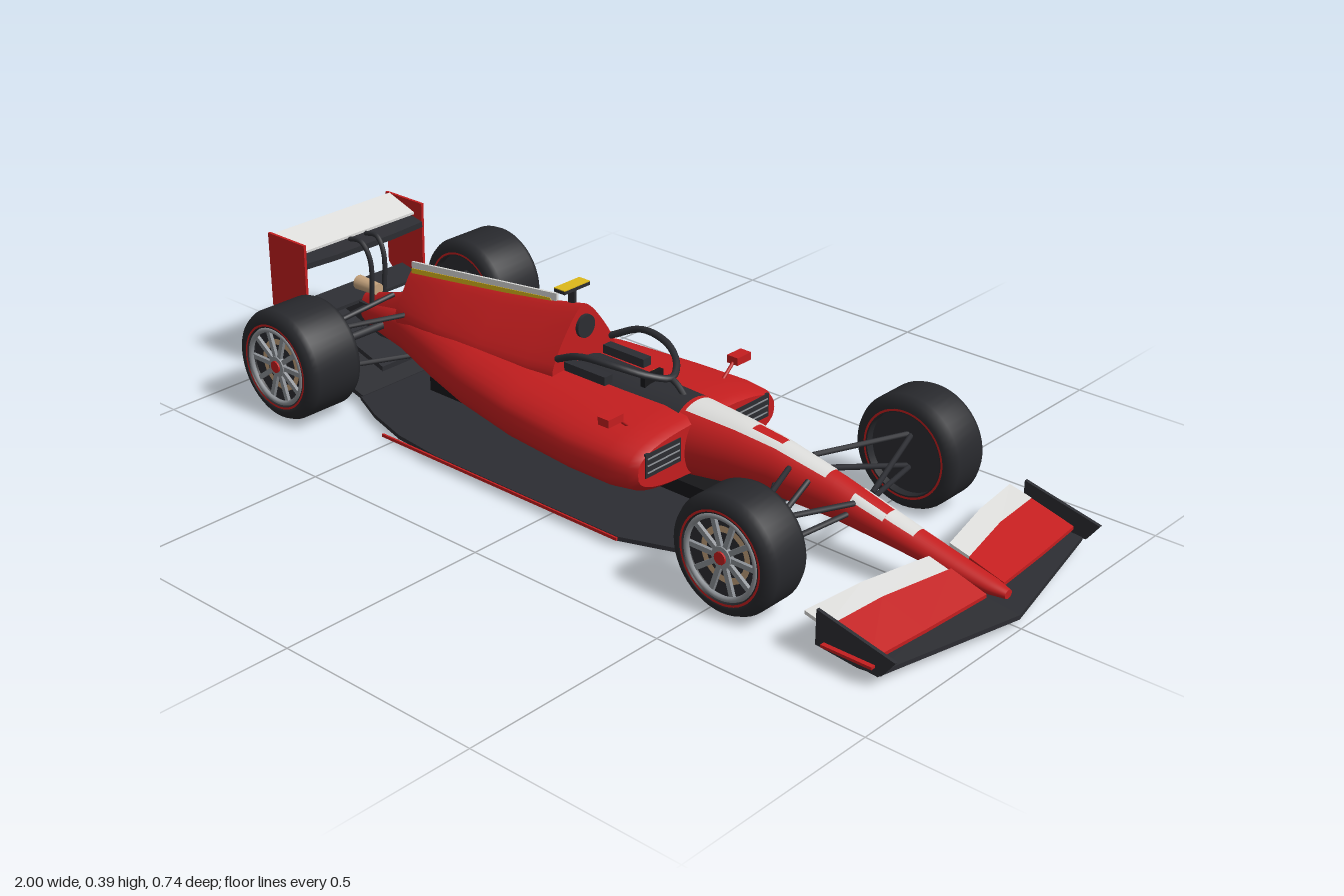
import * as THREE from 'three';

const mat = (name, color, double) => {
  const m = new THREE.MeshStandardMaterial({ color });
  m.name = name;
  if (double) m.side = THREE.DoubleSide;
  return m;
};

export function createModel() {
  const red = mat('red paint', 0xc41e1f), carbon = mat('carbon', 0x2c2d32), rubber = mat('rubber', 0x27282c);
  const white = mat('white paint', 0xdcdcda), yellow = mat('yellow', 0xdcb81a), silver = mat('silver', 0x8d9196);
  const tan = mat('tan metal', 0xc4a27c), black = mat('black', 0x17171a, true);
  const car = new THREE.Group();
  car.name = 'raceCar';

  const add = (name, geo, m, parent = car, x = 0, y = 0, z = 0) => {
    const mesh = new THREE.Mesh(geo, m);
    mesh.name = name;
    mesh.position.set(x, y, z);
    parent.add(mesh);
    return mesh;
  };
  const box = (name, m, x, y, z, w, h, d) => add(name, new THREE.BoxGeometry(w, h, d), m, car, x, y, z);
  const V = (x, y, z) => new THREE.Vector3(x, y, z);

  // Skin over a row of cross-sections, optionally closed round and capped
  const skin = (rings, closed = true, flat = false) => {
    const n = rings[0].length, pos = [], idx = [];
    rings.forEach(r => r.forEach(p => pos.push(p.x, p.y, p.z)));
    for (let i = 0; i < rings.length - 1; i++)
      for (let j = 0; j < (closed ? n : n - 1); j++) {
        const a = i * n + j, b = i * n + (j + 1) % n;
        idx.push(a, a + n, b + n, a, b + n, b);
      }
    if (closed) [rings[0], rings[rings.length - 1]].forEach((r, end) => {
      const s = pos.length / 3;
      r.forEach(p => pos.push(p.x, p.y, p.z));
      for (let j = 1; j < n - 1; j++) end ? idx.push(s, s + j + 1, s + j) : idx.push(s, s + j, s + j + 1);
    });
    let g = new THREE.BufferGeometry();
    g.setAttribute('position', new THREE.Float32BufferAttribute(pos, 3));
    g.setIndex(idx);
    if (flat) g = g.toNonIndexed();
    g.computeVertexNormals();
    return g;
  };

  // Body rows: x, bottom, top, half width, taper to the top, roundness
  const point = (r, a, off = 0) => {
    const f = v => Math.sign(v) * Math.pow(Math.abs(v), 2 / r[5]);
    const s = f(Math.sin(a)), c = f(Math.cos(a));
    return V(r[0], (r[1] + r[2]) / 2 + s * ((r[2] - r[1]) / 2 + off), c * (r[3] + off) * (1 - r[4] * s));
  };
  const rowAt = (rows, x) => {
    let i = 0;
    while (i < rows.length - 2 && rows[i + 1][0] < x) i++;
    const t = (x - rows[i][0]) / (rows[i + 1][0] - rows[i][0]);
    return rows[i].map((v, k) => v + (rows[i + 1][k] - v) * t);
  };
  const body = (name, rows, m) => add(name, skin(rows.map(r =>
    Array.from({ length: 40 }, (_, j) => point(r, j / 40 * Math.PI * 2)))), m);
  // Painted panel lying on a body between two x positions and two angles in degrees
  const panel = (name, rows, m, x0, x1, a0, a1, off = 0.002) => add(name, skin(Array.from({ length: 15 }, (_, i) =>
    Array.from({ length: 13 }, (_, j) => point(rowAt(rows, x0 + (x1 - x0) * i / 14),
      THREE.MathUtils.degToRad(a0 + (a1 - a0) * j / 12), off))), false), m);

  const nose = [
    [-0.3, 0.06, 0.225, 0.09, 0.1, 2.2], [-0.16, 0.06, 0.228, 0.095, 0.1, 2.2], [0.0, 0.06, 0.228, 0.092, 0.1, 2.2],
    [0.17, 0.06, 0.226, 0.08, 0.05, 2.1], [0.3, 0.075, 0.219, 0.064, 0, 2], [0.4, 0.085, 0.208, 0.053, 0, 2],
    [0.55, 0.085, 0.178, 0.042, 0, 2], [0.7, 0.075, 0.138, 0.036, 0, 2], [0.85, 0.06, 0.102, 0.029, 0, 2],
    [0.93, 0.055, 0.085, 0.022, 0, 2], [0.965, 0.057, 0.076, 0.012, 0, 2]];
  const pods = [
    [-0.9, 0.1, 0.16, 0.02, 0, 2], [-0.72, 0.075, 0.195, 0.055, 0, 2.2], [-0.55, 0.06, 0.21, 0.118, 0, 2.4],
    [-0.4, 0.055, 0.217, 0.168, 0, 2.5], [-0.2, 0.055, 0.218, 0.215, 0, 2.6], [0.0, 0.055, 0.217, 0.238, 0, 2.6],
    [0.12, 0.06, 0.216, 0.241, 0, 2.7], [0.18, 0.07, 0.21, 0.235, 0, 2.7], [0.2, 0.085, 0.2, 0.222, 0, 2.7]];
  const cover = [
    [-0.88, 0.11, 0.175, 0.02, 0.2, 2], [-0.74, 0.1, 0.215, 0.04, 0.3, 1.8], [-0.715, 0.1, 0.276, 0.05, 0.5, 1.7],
    [-0.55, 0.1, 0.295, 0.085, 0.5, 1.6], [-0.4, 0.1, 0.314, 0.1, 0.5, 1.6], [-0.24, 0.1, 0.338, 0.105, 0.45, 1.6],
    [-0.16, 0.1, 0.354, 0.1, 0.35, 1.6]];
  body('monocoqueAndNose', nose, red);
  body('sidepods', pods, red);
  body('engineCover', cover, red);

  // Painted panels on the nose and the cockpit opening
  panel('noseStripe', nose, white, 0.17, 0.53, 60, 120);
  panel('stripeMark', nose, red, 0.33, 0.41, 78, 102, 0.004);
  panel('noseTipPanel', nose, white, 0.68, 0.75, 55, 125);
  for (const a of [42, 110]) panel('noseSidePanel', nose, white, 0.6, 0.68, a, a + 28);
  panel('cockpitOpening', nose, carbon, -0.155, 0.16, 40, 140, 0.003);
  box('steeringWheel', black, 0.04, 0.236, 0, 0.012, 0.03, 0.06);
  for (const s of [-1, 1]) {
    box('wheelButton', yellow, 0.032, 0.244, s * 0.018, 0.006, 0.008, 0.008);
    box('headrest', carbon, -0.09, 0.232, s * 0.062, 0.12, 0.02, 0.025);
  }

  // Air intake, centre fin and camera
  const intake = add('airIntake', new THREE.CylinderGeometry(0.027, 0.027, 0.01, 24), carbon, car, -0.157, 0.302, 0);
  intake.rotation.z = Math.PI / 2;
  const plate = (name, m, pts, z, t) => {
    const shape = new THREE.Shape(pts.map(p => new THREE.Vector2(...p)));
    const g = new THREE.ExtrudeGeometry(shape, { depth: t, bevelEnabled: false });
    return add(name, g.translate(0, 0, z - t / 2), m);
  };
  plate('centreFin', white, [[-0.71, 0.26], [-0.24, 0.325], [-0.24, 0.355], [-0.71, 0.302]], 0, 0.006);
  plate('finStripe', yellow, [[-0.71, 0.26], [-0.24, 0.32], [-0.26, 0.34], [-0.71, 0.286]], 0, 0.009);
  box('cameraPost', carbon, -0.195, 0.365, 0, 0.02, 0.04, 0.006);
  box('cameraBar', carbon, -0.195, 0.384, 0, 0.032, 0.008, 0.08);
  box('cameraCap', yellow, -0.195, 0.389, 0, 0.032, 0.002, 0.08);

  // Rods and tubes
  const tube = (name, pts, r, m = carbon) => add(name,
    new THREE.TubeGeometry(new THREE.CatmullRomCurve3(pts), 40, r, 8), m);
  const rod = (name, a, b, r = 0.006, m = carbon) => {
    const mesh = add(name, new THREE.CylinderGeometry(r, r, a.distanceTo(b), 8), m);
    mesh.position.copy(a).lerp(b, 0.5);
    mesh.quaternion.setFromUnitVectors(V(0, 1, 0), b.clone().sub(a).normalize());
  };
  const half = [[-0.16, 0.25, 0.085], [-0.08, 0.284, 0.098], [0.01, 0.283, 0.082], [0.07, 0.267, 0.045]];
  tube('haloRing', [...half.map(p => V(...p)), V(0.095, 0.255, 0),
    ...half.slice().reverse().map(p => V(p[0], p[1], -p[2]))], 0.008);
  tube('haloStrut', [V(0.09, 0.257, 0), V(0.115, 0.242, 0), V(0.14, 0.215, 0)], 0.007);

  // Floor and diffuser
  const edge = [[0.35, 0.23], [0.2, 0.285], [-0.35, 0.285], [-0.48, 0.27], [-0.6, 0.235], [-0.7, 0.19]];
  const outline = [...edge, ...edge.slice().reverse().map(p => [p[0], -p[1]])];
  const floorGeo = new THREE.ExtrudeGeometry(new THREE.Shape(outline.map(p => new THREE.Vector2(...p))),
    { depth: 0.01, bevelEnabled: false });
  add('floor', floorGeo.rotateX(Math.PI / 2), carbon, car, 0, 0.026, 0);
  box('plank', black, -0.15, 0.035, 0, 0.9, 0.05, 0.12);

  // Wing element: sections of z, trailing x, leading x, trailing y, leading y
  const wing = (name, m, secs, t) => add(name, skin(secs.slice().sort((a, b) => a[0] - b[0]).map(
    ([z, x0, x1, y0, y1]) => [V(x1, y1 + t, z), V(x1, y1, z), V(x0, y0, z), V(x0, y0 + t, z)]), true, true), m);
  const span = (name, m, secs, t) => wing(name, m,
    [...secs, ...secs.filter(q => q[0] > 0).map(q => [-q[0], ...q.slice(1)])], t);
  span('diffuser', carbon, [[0.19, -0.93, -0.69, 0.085, 0.016]], 0.012);
  span('diffuserTop', carbon, [[0.1, -0.93, -0.72, 0.115, 0.05]], 0.012);
  box('gearbox', carbon, -0.82, 0.125, 0, 0.22, 0.07, 0.05);

  // Front wing
  span('frontWingMain', carbon, [[0.35, 0.78, 0.915, 0.032, 0.022], [0, 0.87, 0.995, 0.036, 0.022]], 0.01);
  // Rear wing
  span('rearWingFlap', white, [[0.182, -0.985, -0.9, 0.347, 0.318]], 0.006);
  span('rearWingMain', carbon, [[0.182, -0.935, -0.872, 0.305, 0.292], [0.09, -0.935, -0.872, 0.303, 0.288]], 0.014);
  span('beamWing', carbon, [[0.182, -0.95, -0.88, 0.17, 0.155]], 0.008);
  const exhaust = add('exhaust', new THREE.CylinderGeometry(0.018, 0.015, 0.07, 16), tan, car, -0.87, 0.195, 0);
  exhaust.rotation.z = Math.PI / 2;

  for (const s of [-1, 1]) {
    const sec = (z, ...r) => [s * z, ...r];
    wing('frontWingFlap', red, [sec(0.345, 0.79, 0.895, 0.07, 0.042), sec(0.2, 0.81, 0.915, 0.08, 0.05),
      sec(0.03, 0.85, 0.935, 0.085, 0.06)], 0.008);
    wing('frontWingUpperFlap', white, [sec(0.345, 0.735, 0.79, 0.084, 0.071), sec(0.2, 0.76, 0.81, 0.093, 0.079),
      sec(0.035, 0.8, 0.85, 0.096, 0.083)], 0.008);
    plate('frontWingEndplate', carbon, [[0.77, 0.035], [0.87, 0.025], [0.925, 0.03], [0.955, 0.07], [0.77, 0.112]],
      s * 0.35, 0.008);
    box('endplateFoot', red, 0.85, 0.045, s * 0.358, 0.12, 0.006, 0.014);
    plate('rearWingEndplate', red, [[-1, 0.17], [-0.985, 0.155], [-0.9, 0.155], [-0.875, 0.19], [-0.872, 0.352], [-1, 0.352]],
      s * 0.185, 0.007);
    tube('rearWingPylon', [V(-0.9, 0.315, s * 0.025), V(-0.86, 0.318, s * 0.025), V(-0.835, 0.28, s * 0.022),
      V(-0.84, 0.15, s * 0.018)], 0.006);
    rod('diffuserSide', V(-0.93, 0.095, s * 0.185), V(-0.93, 0.16, s * 0.185), 0.01);
    box('floorEdgeStrip', red, -0.158, 0.021, s * 0.287, 0.715, 0.007, 0.005);

    // Sidepod inlet with grille, and mirror
    box('sidepodInlet', carbon, 0.199, 0.155, s * 0.145, 0.006, 0.055, 0.11);
    for (const k of [-1, 0, 1]) box('inletSlat', silver, 0.202, 0.155 + k * 0.016, s * 0.145, 0.003, 0.003, 0.1);
    box('mirror', red, 0.11, 0.238, s * 0.207, 0.03, 0.018, 0.046);
    rod('mirrorStalk', V(0.11, 0.2, s * 0.15), V(0.11, 0.235, s * 0.19), 0.004, red);

    // Suspension
    const arms = (name, hub, ends) => ends.forEach(e => rod(name, V(hub[0], hub[1], s * hub[2]), V(e[0], e[1], s * e[2])));
    arms('frontUpperArm', [0.535, 0.172, 0.27], [[0.45, 0.178, 0.04], [0.61, 0.15, 0.03]]);
    arms('frontLowerArm', [0.535, 0.095, 0.27], [[0.42, 0.135, 0.045], [0.6, 0.125, 0.035], [0.5, 0.165, 0.04]]);
    arms('rearUpperArm', [-0.78, 0.18, 0.25], [[-0.68, 0.19, 0.04], [-0.86, 0.15, 0.02], [-0.76, 0.21, 0.02]]);
    arms('rearLowerArm', [-0.78, 0.085, 0.25], [[-0.67, 0.09, 0.05], [-0.86, 0.1, 0.02]]);
    rod('driveshaft', V(-0.78, 0.133, 0), V(-0.78, 0.133, s * 0.25), 0.01);

    // Wheels
    for (const [name, x, z, R, h] of [['frontWheel', 0.535, 0.298, 0.13, 0.06], ['rearWheel', -0.78, 0.293, 0.132, 0.076]]) {
      const w = new THREE.Group();
      w.name = name;
      w.position.set(x, R + 0.003, s * z);
      if (s < 0) w.rotation.y = Math.PI;
      car.add(w);
      const prof = [[0.094, -h], [R - 0.022, -h], [R - 0.006, -h + 0.007], [R, -h + 0.02], [R, h - 0.02],
        [R - 0.006, h - 0.007], [R - 0.022, h], [0.094, h], [0.094, -h]].map(p => new THREE.Vector2(...p));
      add('tyre', new THREE.LatheGeometry(prof, 48).rotateX(Math.PI / 2), rubber, w);
      const disc = (n, m, r0, r1, at) => add(n, new THREE.RingGeometry(r0, r1, 48), m, w, 0, 0, at);
      disc('sidewallStripe', red, 0.097, 0.102, h + 0.001);
      disc('innerStripe', red, 0.097, 0.102, -h - 0.001).rotation.y = Math.PI;
      add('drum', new THREE.CylinderGeometry(0.094, 0.094, 2 * h - 0.04, 40).rotateX(Math.PI / 2), carbon, w);
      add('rimLip', new THREE.TorusGeometry(0.088, 0.006, 8, 48), silver, w, 0, 0, h - 0.004);
      disc('brakeDisc', tan, 0.048, 0.062, h - 0.018);
      for (let i = 0; i < 10; i++) {
        const a = i / 10 * Math.PI * 2;
        const spoke = add('spoke', new THREE.BoxGeometry(0.066, 0.011, 0.008), silver, w,
          Math.cos(a) * 0.054, Math.sin(a) * 0.054, h - 0.01);
        spoke.rotation.z = a;
      }
      add('hub', new THREE.CylinderGeometry(0.024, 0.024, 0.012, 24).rotateX(Math.PI / 2), silver, w, 0, 0, h - 0.009);
      add('wheelNut', new THREE.CylinderGeometry(0.014, 0.014, 0.012, 12).rotateX(Math.PI / 2), red, w, 0, 0, h - 0.005);
    }
  }
  return car;
}
